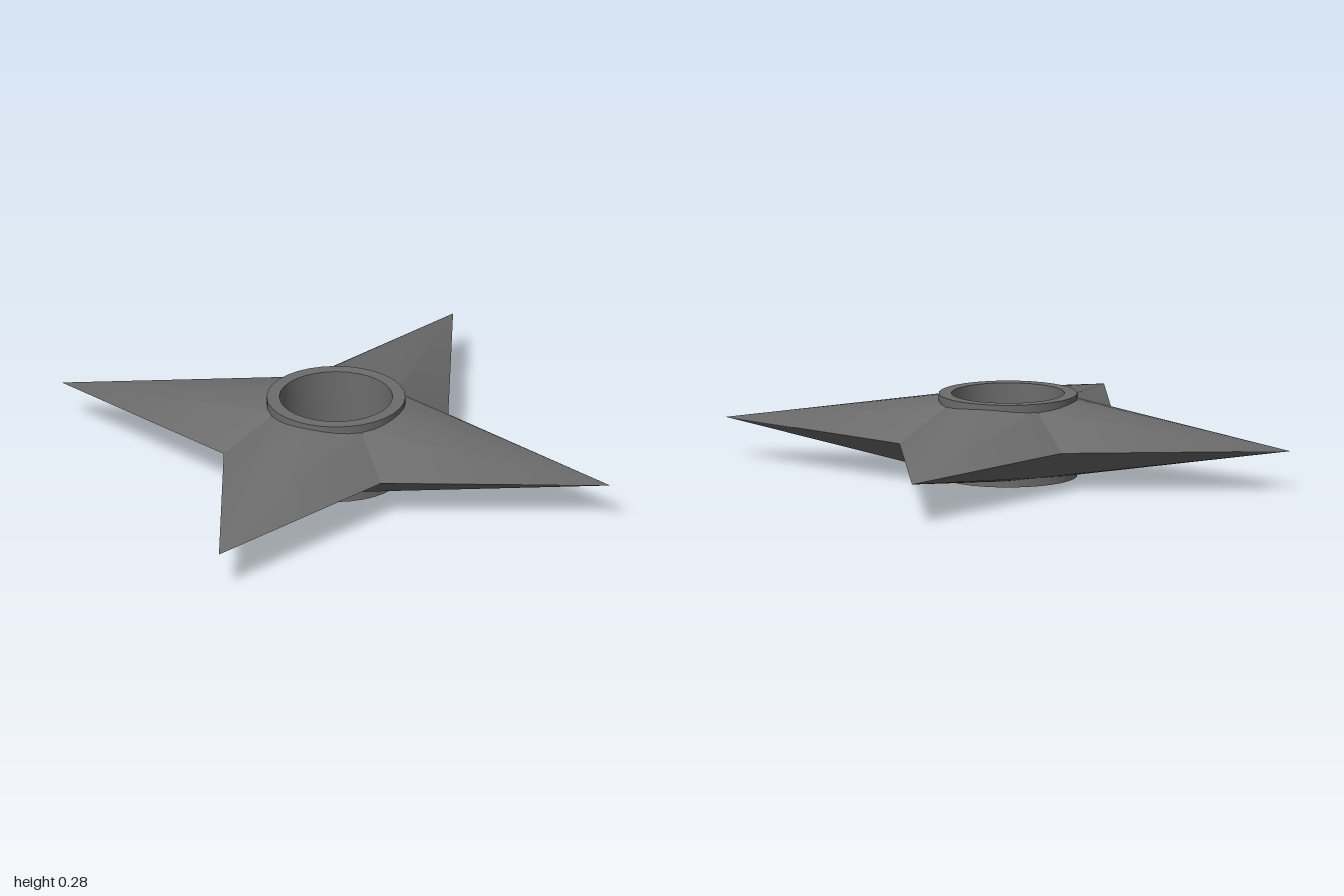
import * as THREE from 'three';
import { toCreasedNormals } from 'three/addons/utils/BufferGeometryUtils.js';

const MID = 0.14;      // height of the cutting edge
const HUB = 0.226;     // radius where the blades meet the collar
const NOTCH = 0.287;   // x and z of the inner corners between blades
const STEPS = 10;

// One blade along +x: a smooth fan from the tip to the hub arc, above and below.
function bladeGeometry() {
  const positions = [], index = [];
  for (const side of [1, -1]) {
    const tip = positions.length / 3;
    positions.push(1, MID, 0, NOTCH, MID, -NOTCH);
    for (let i = 0; i <= STEPS; i++) {
      const a = (i / STEPS - 0.5) * Math.PI / 2;
      const rise = 0.118 + 0.005 * Math.cos(4 * a);
      positions.push(HUB * Math.cos(a), MID + side * rise, HUB * Math.sin(a));
    }
    positions.push(NOTCH, MID, NOTCH);

    for (let i = 1; i <= STEPS + 2; i++) {
      const a = tip + i, b = a + 1;
      index.push(tip, ...(side > 0 ? [a, b] : [b, a]));
    }
  }
  const geometry = new THREE.BufferGeometry();
  geometry.setAttribute('position', new THREE.Float32BufferAttribute(positions, 3));
  geometry.setIndex(index);
  geometry.computeVertexNormals();
  return geometry;
}

export function createModel() {
  const group = new THREE.Group();
  group.name = 'throwingStar';
  const material = new THREE.MeshStandardMaterial({ color: 0x6c6c6c });

  // Four blades
  const blade = bladeGeometry();
  for (let i = 0; i < 4; i++) {
    const mesh = new THREE.Mesh(blade, material);
    mesh.name = 'blade' + (i + 1);
    mesh.rotation.y = i * Math.PI / 2;
    group.add(mesh);
  }

  // Open collar through the middle
  const profile = [[0.19, 0], [0.233, 0], [0.233, 0.28], [0.19, 0.28], [0.19, 0]]
    .map(([x, y]) => new THREE.Vector2(x, y));
  const collar = new THREE.Mesh(
    toCreasedNormals(new THREE.LatheGeometry(profile, 32), Math.PI / 5), material);
  collar.name = 'collar';
  group.add(collar);

  return group;
}
